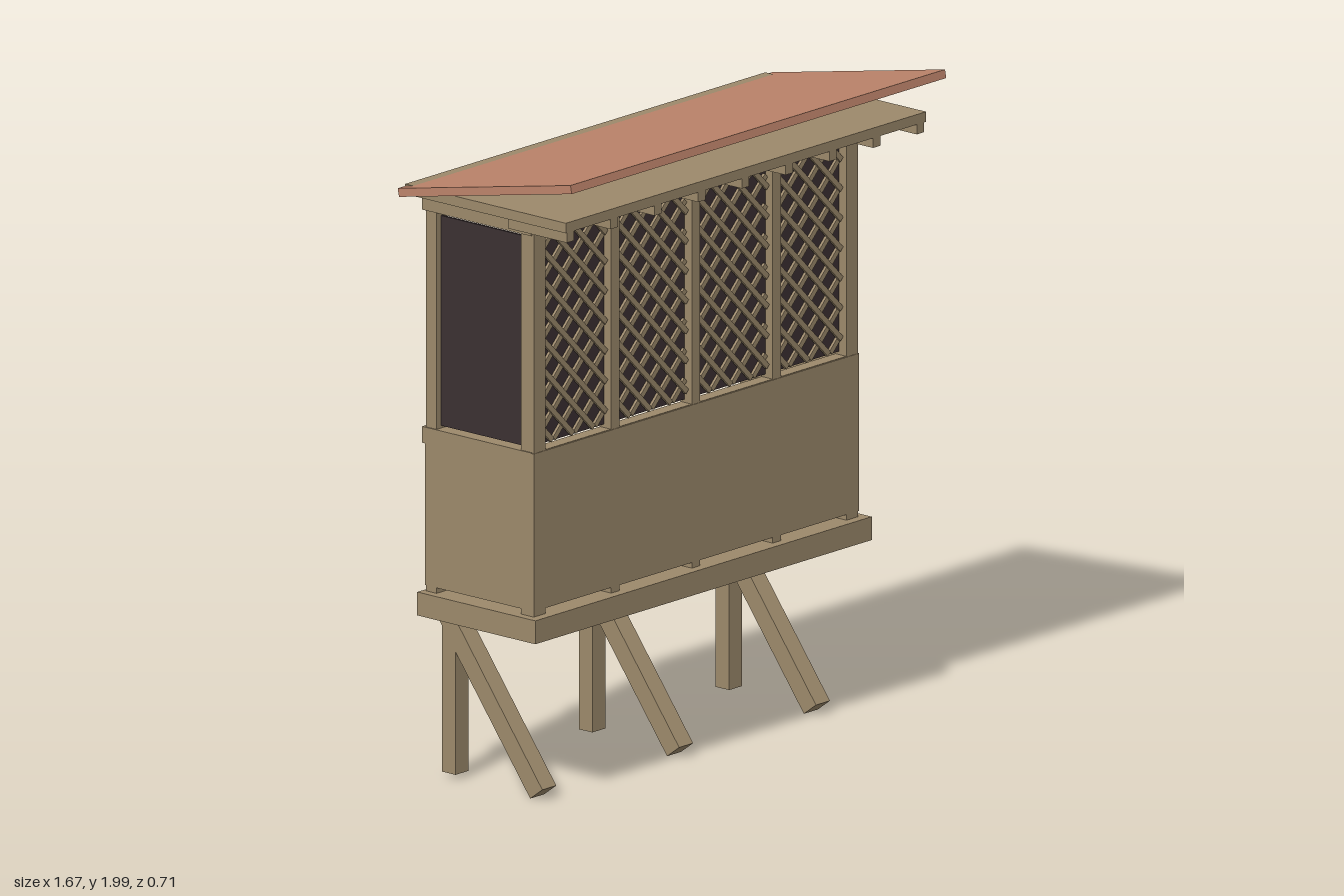
import * as THREE from 'three';

export function createModel() {
  const group = new THREE.Group();
  const wood = new THREE.MeshStandardMaterial({ color: 0x9c896b });
  wood.name = 'wood';
  const roofRed = new THREE.MeshStandardMaterial({ color: 0xbc836a });
  roofRed.name = 'roofRed';
  const darkMesh = new THREE.MeshStandardMaterial({ color: 0x3b3032 });
  darkMesh.name = 'darkMesh';

  // box given by its extents on each axis
  function box(name, [x0, x1], [y0, y1], [z0, z1], material = wood) {
    const mesh = new THREE.Mesh(new THREE.BoxGeometry(x1 - x0, y1 - y0, z1 - z0), material);
    mesh.position.set((x0 + x1) / 2, (y0 + y1) / 2, (z0 + z1) / 2);
    mesh.name = name;
    group.add(mesh);
    return mesh;
  }
  const around = (c, w) => [c - w / 2, c + w / 2];

  // legs with slanted braces
  for (const x of [-0.61, 0, 0.61]) {
    box('leg', around(x, 0.058), [0.02, 0.53], [-0.33, -0.277]);
    const brace = box('brace', around(x, 0.062), around(0.271, 0.622), around(-0.1415, 0.06));
    brace.rotation.x = -Math.atan2(0.373, 0.498);
  }

  // floor platform
  box('floor', [-0.75, 0.75], [0.525, 0.597], [-0.33, 0.138]);

  // posts
  for (const s of [-1, 1]) {
    box('frontCornerPost', around(s * 0.697, 0.052), [0.597, 1.836], [0.057, 0.108]);
    box('backPost', around(s * 0.7, 0.046), [0.597, 1.836], [-0.319, -0.277]);
  }
  for (const x of [-0.36, 0, 0.36])
    box('middlePost', around(x, 0.036), [0.597, 1.836], [0.062, 0.108]);

  // lower walls
  box('frontWall', [-0.725, 0.725], [0.615, 1.1], [0.09, 0.11]);
  for (const s of [-1, 1])
    box('sideWall', around(s * 0.716, 0.02), [0.615, 1.1], [-0.32, 0.109]);

  // sill rails and top rails on three sides
  for (const [y0, y1] of [[1.052, 1.102], [1.77, 1.817]]) {
    box('frontRail', [-0.72, 0.72], [y0, y1], [0.064, 0.107]);
    for (const s of [-1, 1])
      box('sideRail', around(s * 0.7, 0.054), [y0, y1], [-0.331, 0.1]);
  }

  // dark screens
  box('frontScreen', [-0.672, 0.672], [1.112, 1.755], [0.071, 0.079], darkMesh);
  for (const s of [-1, 1])
    box('sideScreen', around(s * 0.7, 0.008), [1.11, 1.757], [-0.28, 0.06], darkMesh);

  // diagonal lattice in each front bay, two crossing layers
  const bays = [[-0.672, -0.377], [-0.343, -0.017], [0.017, 0.343], [0.377, 0.672]];
  const inset = 0.007, step = 0.092;
  const yLow = 1.112 + inset, yHigh = 1.755 - inset;
  for (const [left, right] of bays) {
    const xa = left + inset, xb = right - inset, cx = (left + right) / 2;
    const height = yHigh - yLow;
    for (const dir of [-1, 1]) {
      for (let k = -8; k <= 8; k++) {
        // centre line: x = start + dir * t, y = yLow + t
        const start = cx + (k + 0.5) * step - dir * height / 2;
        const tA = (xa - start) * dir, tB = (xb - start) * dir;
        const t0 = Math.max(0, Math.min(tA, tB)), t1 = Math.min(height, Math.max(tA, tB));
        if (t1 - t0 < 0.012) continue;
        const tm = (t0 + t1) / 2;
        const z = dir > 0 ? 0.084 : 0.091;
        const slat = box('latticeSlat', around(start + dir * tm, 0.017),
          around(yLow + tm, (t1 - t0) * Math.SQRT2), around(z, 0.009));
        slat.rotation.z = -dir * Math.PI / 4;
      }
    }
  }

  // ceiling board with joists under the front overhang
  box('ceiling', [-0.803, 0.803], [1.834, 1.865], [-0.331, 0.306]);
  for (let i = -4; i <= 4; i++)
    box('joist', around(i * 0.195, 0.032), [1.803, 1.836], [0.07, 0.304]);

  // sloping roof, raised at the front
  const roof = box('roof', [-0.835, 0.835], around(1.915, 0.026), around(0.013, 0.698), roofRed);
  roof.rotation.x = -0.2;

  return group;
}
